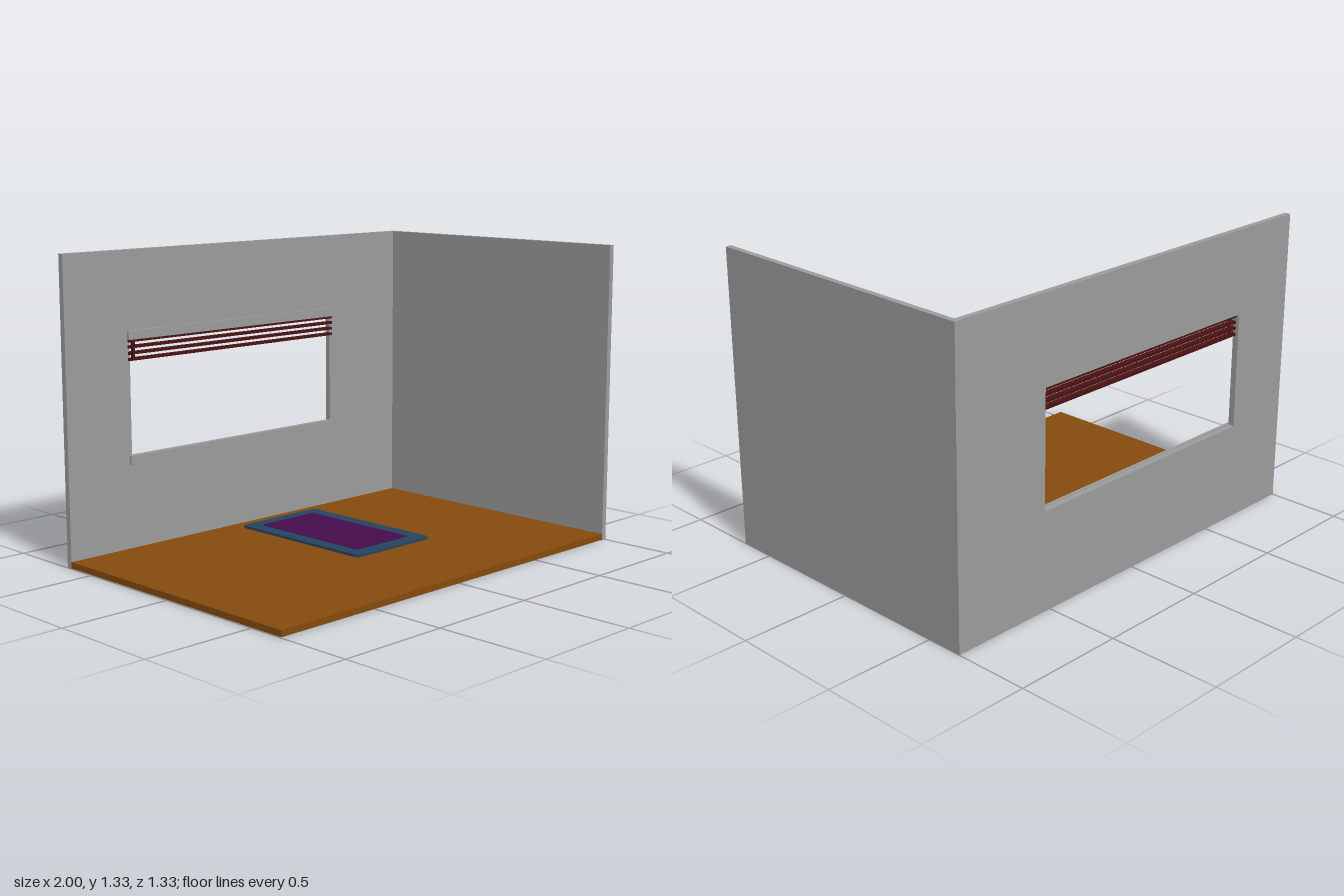
import * as THREE from 'three';

const mat = (name, color) => Object.assign(new THREE.MeshStandardMaterial({ color }), { name });

// Axis-aligned box from its minimum and maximum corners
function box(name, material, [x0, y0, z0], [x1, y1, z1]) {
  const mesh = new THREE.Mesh(new THREE.BoxGeometry(x1 - x0, y1 - y0, z1 - z0), material);
  mesh.position.set((x0 + x1) / 2, (y0 + y1) / 2, (z0 + z1) / 2);
  mesh.name = name;
  return mesh;
}

// Flat mat with rounded corners lying in the xz plane
function roundedMat(name, material, [x0, z0], [x1, z1], r, y, height) {
  const s = new THREE.Shape();
  const a = -z1, b = -z0;
  s.moveTo(x0 + r, a);
  s.lineTo(x1 - r, a).quadraticCurveTo(x1, a, x1, a + r);
  s.lineTo(x1, b - r).quadraticCurveTo(x1, b, x1 - r, b);
  s.lineTo(x0 + r, b).quadraticCurveTo(x0, b, x0, b - r);
  s.lineTo(x0, a + r).quadraticCurveTo(x0, a, x0 + r, a);
  const g = new THREE.ExtrudeGeometry(s, { depth: height, bevelEnabled: false, curveSegments: 4 });
  g.rotateX(-Math.PI / 2);
  const mesh = new THREE.Mesh(g, material);
  mesh.position.y = y;
  mesh.name = name;
  return mesh;
}

export function createModel() {
  const wall = mat('wall grey', 0x9b9b9b);
  const wood = mat('floor brown', 0x854a0c);
  const blue = mat('rug blue', 0x25435f);
  const purple = mat('rug purple', 0x450c4b);
  const red = mat('blind dark red', 0x4a1212);
  const model = new THREE.Group();
  model.name = 'room';

  // Floor and side wall
  model.add(box('floor', wood, [-1, 0.003, -0.64], [0.974, 0.03, 0.667]));
  model.add(box('sideWall', wall, [0.974, 0, -0.64], [1, 1.333, 0.667]));

  // Back wall with window opening
  const shape = new THREE.Shape();
  shape.moveTo(-1, 0).lineTo(1, 0).lineTo(1, 1.333).lineTo(-1, 1.333).closePath();
  const hole = new THREE.Path();
  hole.moveTo(-0.667, 0.44).lineTo(-0.667, 0.955).lineTo(0.533, 0.955).lineTo(0.533, 0.44).closePath();
  shape.holes.push(hole);
  const back = new THREE.Mesh(
    new THREE.ExtrudeGeometry(shape, { depth: 0.027, bevelEnabled: false }), wall);
  back.position.z = -0.667;
  back.name = 'backWall';
  model.add(back);

  // Window head trim and sill
  for (const [name, y0, y1] of [['windowHead', 0.948, 0.988], ['windowSill', 0.403, 0.443]]) {
    model.add(box(name, wall, [-0.68, y0, -0.64], [0.54, y1, -0.627]));
  }

  // Gathered blind slats
  const blind = new THREE.Group();
  blind.name = 'blind';
  for (let i = 0; i < 4; i++) {
    const y = 0.944 - i * 0.027;
    blind.add(box('slat', red, [-0.677, y - 0.006, -0.653], [0.539, y + 0.006, -0.629]));
  }
  blind.add(box('pullCord', red, [-0.669, 0.862, -0.629], [-0.657, 0.945, -0.615]));
  model.add(blind);

  // Rug with inset centre panel
  model.add(roundedMat('rug', blue, [-0.095, -0.572], [0.36, 0.17], 0.025, 0.03, 0.011));
  model.add(roundedMat('rugCentre', purple, [-0.03, -0.51], [0.292, 0.103], 0.012, 0.041, 0.002));
  return model;
}
